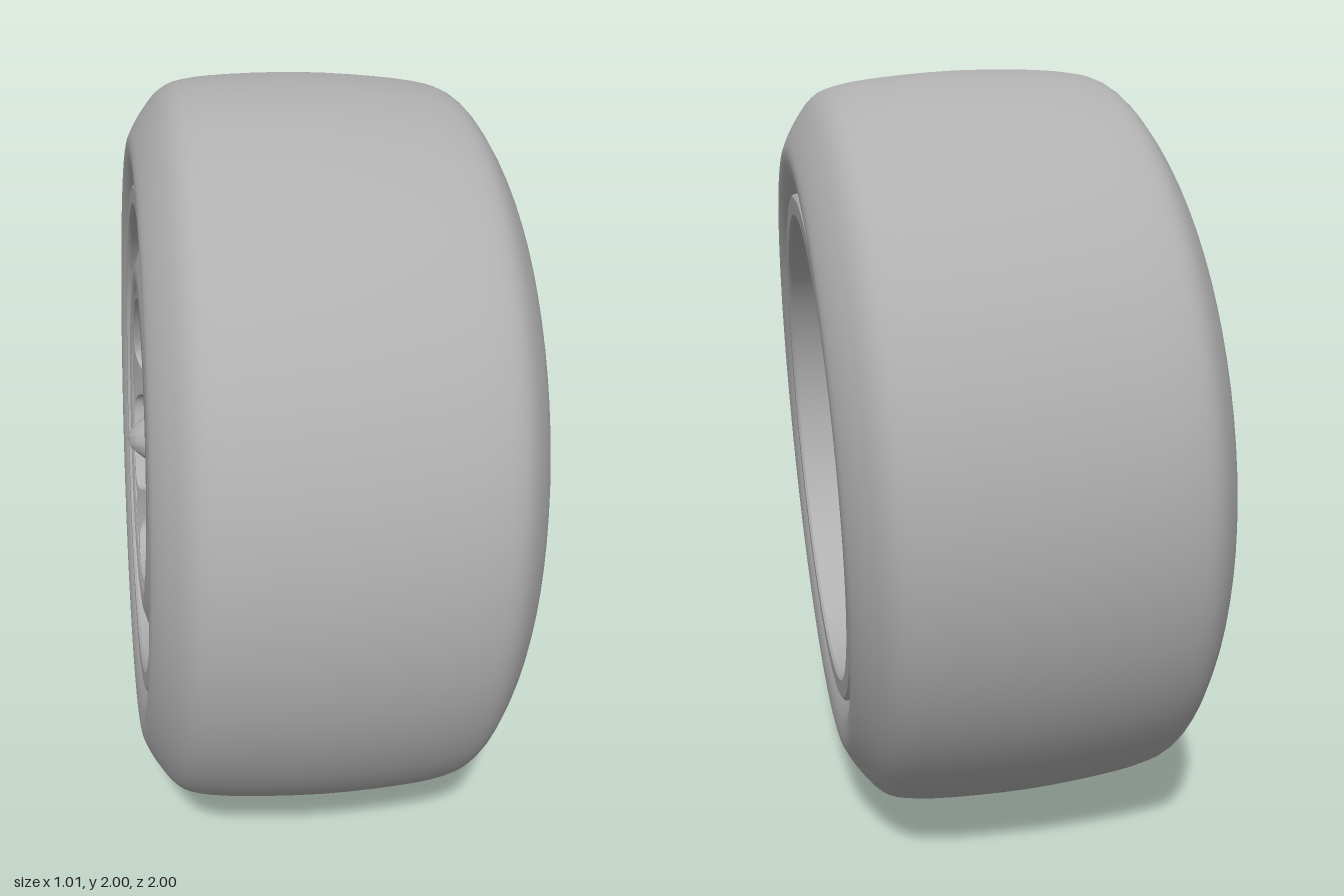
import * as THREE from 'three';
import { toCreasedNormals } from 'three/addons/utils/BufferGeometryUtils.js';

export function createModel() {
  const model = new THREE.Group();
  const wheel = new THREE.Group();
  wheel.name = 'wheel';
  const grey = new THREE.MeshStandardMaterial({ color: 0xb0b0b0, side: THREE.DoubleSide });
  grey.name = 'grey';

  const add = (name, geometry, parent = wheel) => {
    const mesh = new THREE.Mesh(geometry, grey);
    mesh.name = name;
    parent.add(mesh);
    return mesh;
  };
  // Profiles are [radius, x]; they turn about the wheel's x axle
  const vec = (pts) => pts.map(([r, x]) => new THREE.Vector2(r, x));
  const turned = (pts, segments, crease = 0.6) =>
    toCreasedNormals(new THREE.LatheGeometry(vec(pts), segments).rotateZ(-Math.PI / 2), crease);
  // Place a mesh on the wheel face at an angle in the z-y plane
  const place = (mesh, x, r, a) => mesh.position.set(x, r * Math.sin(a), r * Math.cos(a));

  // Tyre with crowned tread, rounded shoulders and bulging sidewalls
  const half = [[0.69, 0.42], [0.72, 0.44], [0.76, 0.458], [0.81, 0.464], [0.85, 0.45],
    [0.9, 0.42], [0.95, 0.378], [0.975, 0.32], [0.99, 0.2]];
  const section = [...half.map(([r, x]) => [r, -x]), [0.998, 0], ...half.slice().reverse()];
  const tyreCurve = new THREE.SplineCurve(vec(section)).getPoints(54);
  add('tyre', new THREE.LatheGeometry(tyreCurve, 80).rotateZ(-Math.PI / 2));

  // Inner rim: protruding lip and tapered barrel
  add('innerRim', turned([[0.7, 0.41], [0.7, 0.446], [0.692, 0.452], [0.645, 0.452],
    [0.638, 0.445], [0.58, -0.18], [0.58, -0.39]].reverse(), 72));

  // Outer rim: lip, step and broad face ring
  add('outerRim', turned([[0.7, -0.41], [0.7, -0.446], [0.692, -0.452], [0.65, -0.452],
    [0.643, -0.445], [0.635, -0.395], [0.61, -0.395]].reverse(), 72));
  add('faceRing', turned([[0.58, -0.37], [0.612, -0.375], [0.612, -0.397], [0.6, -0.405],
    [0.55, -0.425], [0.48, -0.448], [0.445, -0.452], [0.43, -0.445], [0.425, -0.39]].reverse(), 72));

  // Inboard dish and twelve-sided centre plate
  add('dish', turned([[0.58, -0.18], [0.55, -0.145], [0.5, -0.122], [0.44, -0.11],
    [0.36, -0.106]].reverse(), 24, 1));
  add('centrePlate', toCreasedNormals(new THREE.CylinderGeometry(0.385, 0.385, 0.07, 12)
    .rotateY(Math.PI / 12).rotateZ(-Math.PI / 2), 0.3)).position.x = -0.135;

  // Six spokes cut from one disc, then dished towards the hub
  const disc = new THREE.Shape().absarc(0, 0, 0.44, 0, Math.PI * 2);
  const windowSide = [[0.17, 14], [0.28, 22], [0.375, 23], [0.415, 18]];
  const outline = [[0.155, 0], ...windowSide, [0.425, 0],
    ...windowSide.slice().reverse().map(([r, a]) => [r, -a])];
  for (let i = 0; i < 6; i++) {
    const loop = outline.map(([r, a]) => {
      const angle = THREE.MathUtils.degToRad(a + 30 + 60 * i);
      return new THREE.Vector3(r * Math.cos(angle), r * Math.sin(angle), 0);
    });
    const pts = new THREE.CatmullRomCurve3(loop, true).getPoints(48).slice(0, -1);
    disc.holes.push(new THREE.Path(pts.map((p) => new THREE.Vector2(p.x, p.y))));
  }
  const spokes = new THREE.ExtrudeGeometry(disc, { depth: 0.055, bevelEnabled: false, curveSegments: 36 });
  const pos = spokes.attributes.position;
  for (let i = 0; i < pos.count; i++) {
    const t = THREE.MathUtils.clamp((Math.hypot(pos.getX(i), pos.getY(i)) - 0.13) / 0.3, 0, 1);
    pos.setZ(i, pos.getZ(i) + 0.295 + 0.095 * Math.pow(t, 1.3));
  }
  add('spokes', toCreasedNormals(spokes.rotateY(-Math.PI / 2), 0.6));

  // Hub, toothed locking ring and pointed nose
  add('hub', turned([[0.15, -0.17], [0.14, -0.34], [0.13, -0.362], [0.07, -0.362]].reverse(), 32));
  const teeth = new THREE.Group();
  teeth.name = 'lockingRing';
  wheel.add(teeth);
  for (let i = 0; i < 18; i++) {
    const a = (i / 18) * Math.PI * 2;
    const tooth = add('tooth', new THREE.BoxGeometry(0.05, 0.045, 0.018), teeth);
    place(tooth, -0.375, 0.09, a);
    tooth.rotation.x = Math.PI / 2 - a;
  }
  add('nose', turned([[0.078, -0.35], [0.076, -0.39], [0.064, -0.425], [0.04, -0.455],
    [0.018, -0.474], [0, -0.48]].reverse(), 24, 1));

  // Small studs around the face ring
  for (let i = 0; i < 6; i++) {
    const stud = add('stud', new THREE.CylinderGeometry(0.01, 0.01, 0.02, 10).rotateZ(Math.PI / 2));
    place(stud, -0.418, 0.56, (i * Math.PI) / 3);
  }

  // Valve stem behind one window
  const valve = add('valveStem', new THREE.CapsuleGeometry(0.016, 0.07, 4, 12).rotateZ(Math.PI / 2));
  place(valve, -0.3, 0.5, -Math.PI / 6);

  // Camber: the top leans towards +x
  wheel.rotation.z = -0.05;
  wheel.position.y = 1;
  model.add(wheel);
  return model;
}
